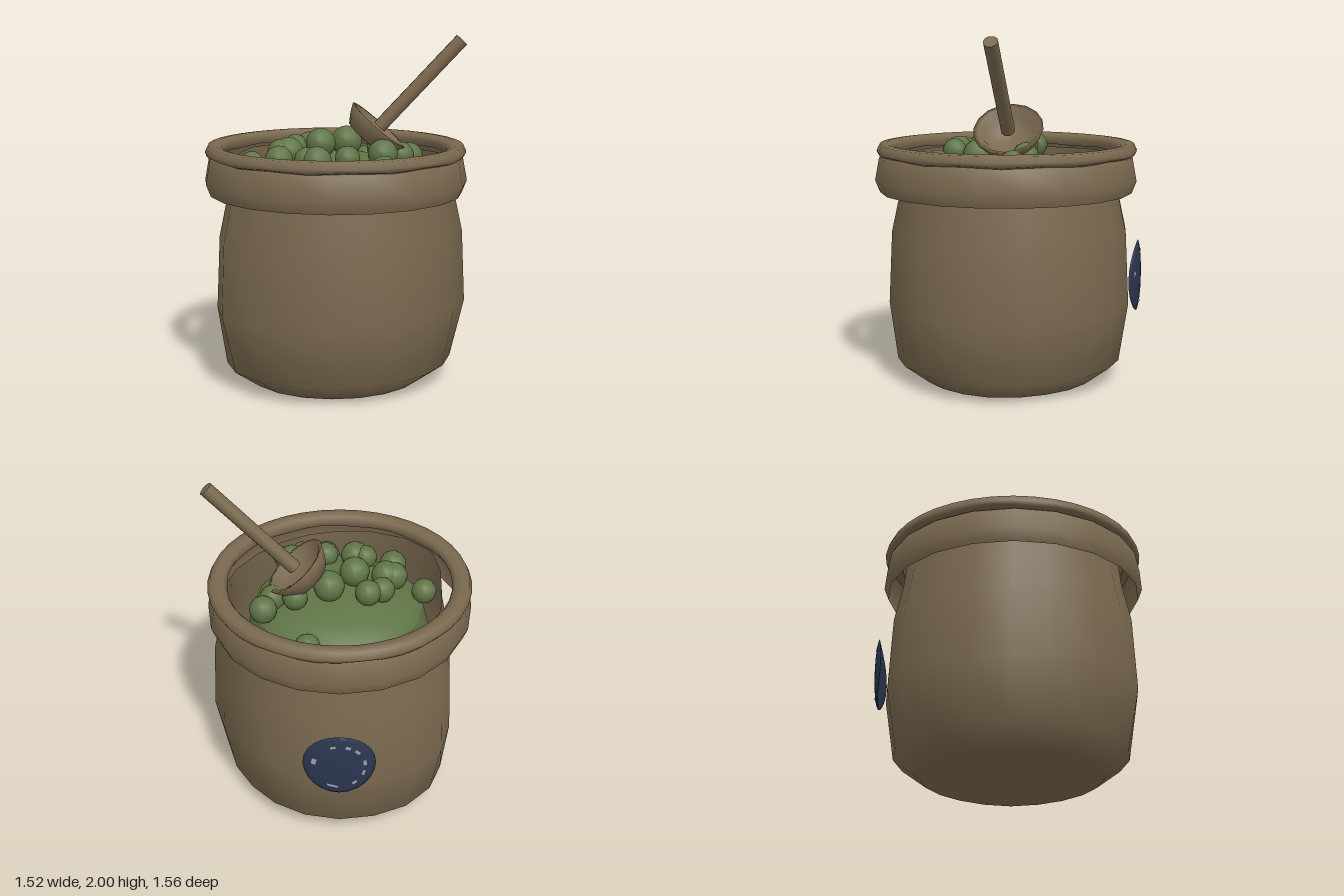
import * as THREE from 'three';

const V2 = (pts) => pts.map(([r, y]) => new THREE.Vector2(r, y));

function makeMaterial(name, color, side = THREE.FrontSide) {
  const m = new THREE.MeshStandardMaterial({ color, side });
  m.name = name;
  return m;
}

// Displace every vertex of a geometry by a rule
function warp(geometry, rule) {
  const p = geometry.attributes.position;
  const v = new THREE.Vector3();
  for (let i = 0; i < p.count; i++) {
    v.fromBufferAttribute(p, i);
    rule(v);
    p.setXYZ(i, v.x, v.y, v.z);
  }
  return geometry;
}

export function createModel() {
  const model = new THREE.Group();
  const burlap = makeMaterial('burlap brown', 0x7a694f, THREE.DoubleSide);
  const green = makeMaterial('pea green', 0x5f7446);
  const navy = makeMaterial('navy', 0x2b3650);
  const pale = makeMaterial('pale grey', 0x9aa3b4, THREE.DoubleSide);

  function add(name, geometry, material, parent = model) {
    const mesh = new THREE.Mesh(geometry, material);
    mesh.name = name;
    parent.add(mesh);
    return mesh;
  }

  // Sack body: open at the top, with an uneven outline around its 20 sides
  // (radial bulge per side, from the left round past the front)
  const bulge = [
    0.045, 0.01, -0.015, -0.02, -0.015, -0.003, 0.02, 0.042, 0.05, -0.005,
    -0.045, -0.025, 0.02, 0.03, 0.005, -0.003, -0.015, -0.025, -0.028, 0.01,
  ];
  const bodyProfile = V2([
    [0, 0], [0.51, 0], [0.66, 0.11], [0.715, 0.45], [0.695, 0.87], [0.645, 1.1], [0.625, 1.3],
  ]);
  const body = warp(new THREE.LatheGeometry(bodyProfile, 20), (v) => {
    const r = Math.hypot(v.x, v.z);
    if (r < 0.01) return;
    const side = (Math.round(Math.atan2(v.z, v.x) / (Math.PI / 10)) + 20) % 20;
    const sag = 0.25 + 0.75 * Math.min(v.y / 0.45, 1);
    const k = 1 + sag * bulge[side] / r;
    v.x *= k;
    v.z *= k;
  });
  add('sackBody', body, burlap);

  // Folded-over cuff, hanging free of the body
  const cuffProfile = V2([[0.735, 1.1], [0.762, 1.17], [0.738, 1.3], [0.7, 1.32]]);
  add('cuff', new THREE.LatheGeometry(cuffProfile, 20), burlap).position.z = 0.012;

  // Rolled rim with a slightly wavy lower edge
  const rimProfile = V2([
    [0.66, 1.31], [0.71, 1.308], [0.745, 1.32], [0.755, 1.342], [0.738, 1.378],
    [0.7, 1.383], [0.66, 1.372], [0.642, 1.345], [0.66, 1.31],
  ]);
  const rim = warp(new THREE.LatheGeometry(rimProfile, 40), (v) => {
    const a = Math.atan2(v.x, v.z);
    if (v.y < 1.33) v.y += 0.005 * Math.sin(a * 10);
  });
  add('rolledRim', rim, burlap).position.z = 0.008;

  // Heap filling the sack: rounded top and steep side
  const heapTop = V2([[0.49, 1.18], [0.45, 1.225], [0.36, 1.27], [0.2, 1.315], [0, 1.33]]);
  const heapSide = V2([[0.535, 1.0], [0.49, 1.18]]);
  for (const [name, profile] of [['heapTop', heapTop], ['heapSide', heapSide]]) {
    add(name, new THREE.LatheGeometry(profile, 16), green).position.set(0.008, 0, 0.015);
  }

  // Loose round peas: x, y, z, radius
  const peas = new THREE.Group();
  peas.name = 'peas';
  model.add(peas);
  const peaGeometry = new THREE.SphereGeometry(1, 12, 8);
  [
    [-0.485, 1.26, 0.03, 0.073], [-0.31, 1.315, 0.23, 0.08], [-0.31, 1.33, 0.08, 0.082],
    [-0.265, 1.34, 0.075, 0.084], [-0.085, 1.385, 0.04, 0.087], [0.06, 1.38, -0.1, 0.09],
    [-0.16, 1.355, -0.13, 0.075], [-0.24, 1.345, -0.085, 0.074], [-0.15, 1.325, 0.29, 0.07],
    [-0.09, 1.32, 0.315, 0.084], [0.08, 1.335, 0.3, 0.071], [0.275, 1.335, 0.12, 0.086],
    [0.25, 1.335, -0.15, 0.073], [0.38, 1.3, -0.1, 0.075], [0.285, 1.28, 0.35, 0.078],
    [0.175, 1.23, -0.475, 0.075], [0.45, 1.14, -0.335, 0.08], [0.43, 1.28, -0.19, 0.08],
    [0.33, 1.2, 0.47, 0.07], [0.23, 1.19, 0.525, 0.08], [0.085, 1.165, 0.56, 0.085],
  ].forEach(([x, y, z, r]) => {
    const pea = add('pea', peaGeometry, green, peas);
    pea.position.set(x, y, z);
    pea.scale.setScalar(r);
  });

  // Scoop bowl, tilted towards the left
  const bowlProfile = V2([
    [0, -0.115], [0.08, -0.114], [0.138, -0.106], [0.172, -0.056], [0.2, 0],
    [0.175, -0.002], [0.14, -0.05], [0.08, -0.085], [0, -0.092],
  ]);
  const bowl = add('scoopBowl', new THREE.LatheGeometry(bowlProfile, 16), burlap);
  bowl.position.set(0.25, 1.48, -0.05);
  bowl.rotation.z = -0.71;

  // Scoop handle, rising out of the bowl
  const handle = add('scoopHandle', new THREE.CylinderGeometry(0.041, 0.041, 0.69, 10), burlap);
  handle.position.set(0.488, 1.7225, -0.05);
  handle.rotation.z = -0.75;

  // Round padded badge on the back, curved around the sack
  const badge = new THREE.Group();
  badge.name = 'badge';
  badge.position.set(0, 0.625, -0.771);
  model.add(badge);
  const wrapBack = (v) => { v.z += 0.7 * v.x * v.x; };
  const badgeProfile = V2([
    [0, -0.002], [0.1, -0.005], [0.19, -0.015], [0.205, -0.01],
    [0.185, -0.004], [0.16, 0.001], [0.1, 0.007], [0.05, 0.009], [0, 0.01],
  ]);
  const pad = warp(new THREE.LatheGeometry(badgeProfile, 24).rotateX(-Math.PI / 2), wrapBack);
  pad.computeVertexNormals();
  add('badgePad', pad, navy, badge);

  // Pale marks around the badge: angle, radial size, tangential size
  [
    [168, 0.026, 0.04], [104, 0.016, 0.03], [70, 0.02, 0.03], [45, 0.018, 0.034], [8, 0.018, 0.036],
    [-20, 0.016, 0.034], [-54, 0.018, 0.03], [-105, 0.014, 0.065],
  ].forEach(([deg, w, h]) => {
    const a = THREE.MathUtils.degToRad(deg);
    const mark = new THREE.PlaneGeometry(w, h).rotateZ(a)
      .rotateY(Math.PI).translate(-0.145 * Math.cos(a), 0.145 * Math.sin(a), -0.0065);
    add('badgeMark', warp(mark, wrapBack), pale, badge);
  });

  return model;
}
